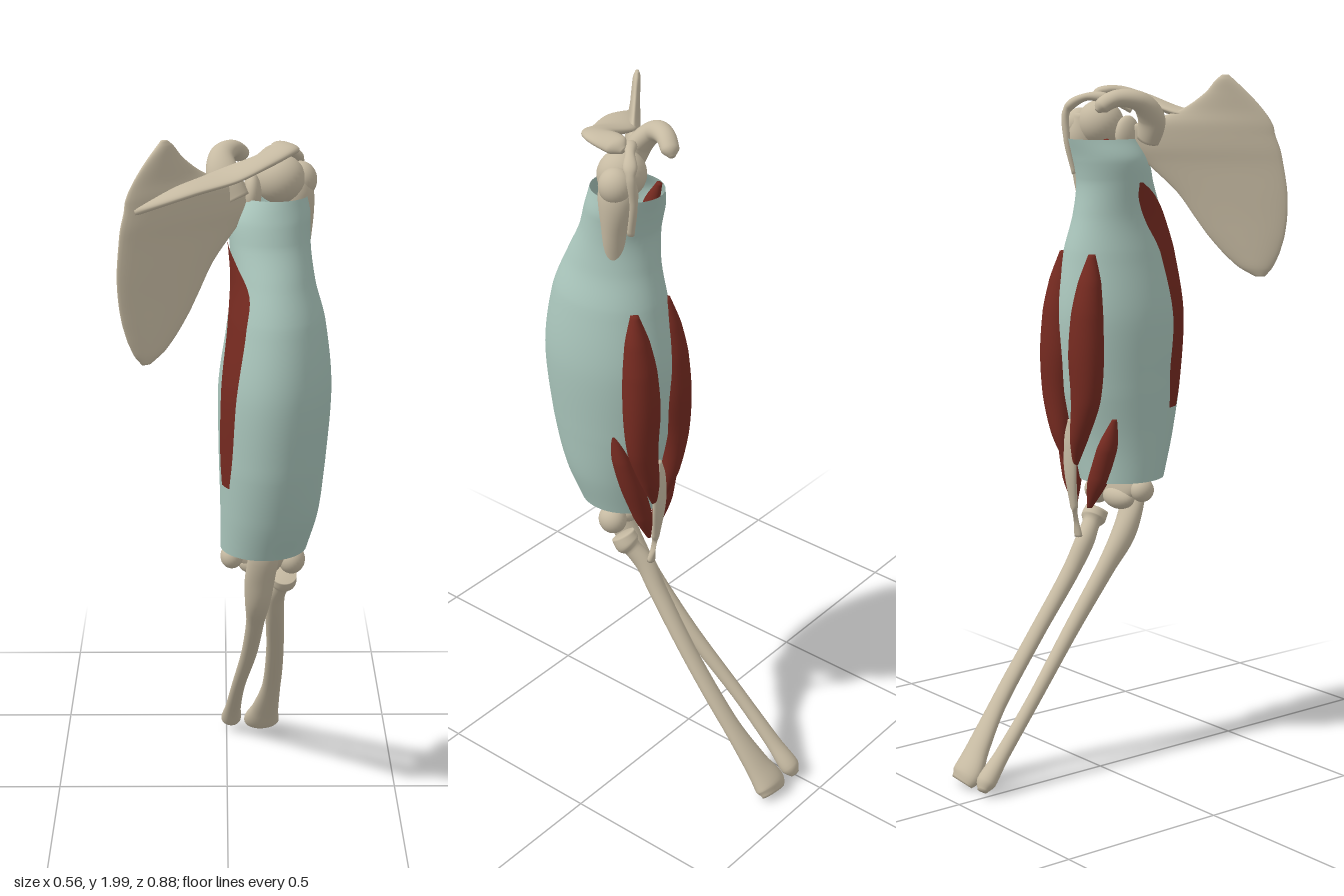
import * as THREE from 'three';

const bone = new THREE.MeshStandardMaterial({ name: 'bone', color: 0xc6baa2 });
const muscle = new THREE.MeshStandardMaterial({ name: 'muscle red', color: 0x752a20, side: THREE.DoubleSide });
const sleeveMat = new THREE.MeshStandardMaterial({ name: 'sleeve green', color: 0xaac6bc, side: THREE.DoubleSide });

const V = (x, y, z) => new THREE.Vector3(x, y, z);

// Smooth curves through rows of [x, y, z, radiusA, radiusB]
function makeCurves(rows) {
  return {
    path: new THREE.CatmullRomCurve3(rows.map(r => V(r[0], r[1], r[2]))),
    size: new THREE.CatmullRomCurve3(rows.map(r => V(r[3], r[4], 0))),
  };
}

// Point on the swept surface at t along the path and angle a around it
function surfacePoint(c, t, a, u0, flat, grow = 0) {
  const T = flat ? V(0, 1, 0) : c.path.getTangent(t);
  const v = T.clone().cross(u0).normalize();
  const u = v.clone().cross(T);
  const s = c.size.getPoint(t);
  return c.path.getPoint(t)
    .addScaledVector(u, (Math.max(s.x, 0.001) + grow) * Math.cos(a))
    .addScaledVector(v, (Math.max(s.y, 0.001) + grow) * Math.sin(a));
}

function meshFrom(name, mat, pos, idx) {
  const g = new THREE.BufferGeometry();
  g.setAttribute('position', new THREE.Float32BufferAttribute(pos, 3));
  g.setIndex(idx);
  g.computeVertexNormals();
  const m = new THREE.Mesh(g, mat);
  m.name = name;
  return m;
}

// Elliptical sweep; flat keeps every ring horizontal
function sweep(name, mat, rows, { u = V(1, 0, 0), flat = false, open = false, n = 28, seg = 48 } = {}) {
  const c = makeCurves(rows), pos = [], idx = [];
  for (let i = 0; i <= seg; i++)
    for (let j = 0; j < n; j++)
      pos.push(...surfacePoint(c, i / seg, j / n * Math.PI * 2, u, flat).toArray());
  for (let i = 0; i < seg; i++)
    for (let j = 0; j < n; j++) {
      const a = i * n + j, b = i * n + (j + 1) % n;
      idx.push(a, b, b + n, a, b + n, a + n);
    }
  if (!open) {
    const k = pos.length / 3, top = seg * n;
    pos.push(...c.path.getPoint(0).toArray(), ...c.path.getPoint(1).toArray());
    for (let j = 0; j < n; j++) {
      const q = (j + 1) % n;
      idx.push(k, q, j, k + 1, top + j, top + q);
    }
  }
  return meshFrom(name, mat, pos, idx);
}

function ellipsoid(name, x, y, z, rx, ry, rz) {
  const m = new THREE.Mesh(new THREE.SphereGeometry(1, 28, 20), bone);
  m.scale.set(rx, ry, rz);
  m.position.set(x, y, z);
  m.name = name;
  return m;
}

// Upper arm sleeve: [y, xMin, xMax, zMin, zMax]
const sleeveRows = [
  [0.84, -0.02, 0.22, 0.03, 0.285], [0.95, -0.02, 0.25, 0.015, 0.325],
  [1.1, -0.024, 0.268, -0.015, 0.36], [1.3, -0.026, 0.282, -0.028, 0.375],
  [1.5, 0, 0.262, -0.002, 0.342], [1.6, 0.012, 0.235, 0.022, 0.3],
  [1.7, 0.005, 0.222, 0.032, 0.252], [1.76, 0.003, 0.222, 0.02, 0.235],
  [1.82, 0.03, 0.215, 0.004, 0.213],
].map(([y, a, b, c, d]) => [(a + b) / 2, y, (c + d) / 2, (b - a) / 2, (d - c) / 2]);

// Thin strip of muscle lying on the inner side of the sleeve
function innerStrip() {
  const c = makeCurves(sleeveRows), pos = [], idx = [], rows = 40, cols = 8;
  const edge = new THREE.CatmullRomCurve3([
    V(1.67, 142, 157), V(2.3, 136, 160), V(3, 132, 157), V(4, 127, 164),
    V(4.8, 125, 176), V(5.5, 146, 184), V(6, 174, 180),
  ]);
  for (let i = 0; i <= rows; i++) {
    const e = edge.getPoint(i / rows);
    for (let j = 0; j <= cols; j++) {
      const a = -THREE.MathUtils.degToRad(e.y + (e.z - e.y) * j / cols);
      pos.push(...surfacePoint(c, e.x / 8, a, V(1, 0, 0), true, 0.005).toArray());
    }
  }
  // Wound so that the front of the strip faces away from the sleeve
  for (let i = 0; i < rows; i++)
    for (let j = 0; j < cols; j++) {
      const a = i * (cols + 1) + j, b = a + cols + 1;
      idx.push(a, b, b + 1, a, b + 1, a + 1);
    }
  return meshFrom('innerMuscleStrip', muscle, pos, idx);
}

function shoulderBlade() {
  const g = new THREE.Group();
  g.name = 'shoulderBlade';
  // Blade: [y, xMin, xMax, half thickness], leaning in plan
  const rows = [
    [1.435, -0.222, -0.2, 0.006], [1.46, -0.24, -0.165, 0.012], [1.5, -0.257, -0.132, 0.013],
    [1.55, -0.271, -0.1, 0.013], [1.6, -0.279, -0.074, 0.013], [1.67, -0.283, -0.038, 0.014],
    [1.75, -0.278, 0.025, 0.016], [1.8, -0.272, 0.065, 0.02], [1.855, -0.262, 0.055, 0.02],
    [1.9, -0.243, -0.055, 0.014], [1.95, -0.21, -0.115, 0.012], [1.985, -0.182, -0.14, 0.01],
    [2, -0.17, -0.155, 0.005],
  ].map(([y, a, b, t]) => {
    const x = (a + b) / 2;
    return [x, y, 0.2 - 0.8 * x + 0.1 * (1.85 - y), (b - a) * 0.64, t];
  });
  g.add(sweep('blade', bone, rows, { u: V(1, 0, -0.8).normalize(), flat: true, n: 36 }));
  // Ridge running out to the shoulder tip
  g.add(sweep('bladeRidge', bone, [
    [-0.24, 1.83, 0.395, 0.012, 0.01], [-0.12, 1.87, 0.34, 0.045, 0.014],
    [-0.01, 1.895, 0.272, 0.06, 0.014], [0.09, 1.93, 0.232, 0.045, 0.015],
    [0.145, 1.95, 0.18, 0.042, 0.016], [0.15, 1.945, 0.12, 0.034, 0.018], [0.15, 1.935, 0.095, 0.01, 0.008],
  ], { u: V(0.6, 0, 0.8) }));
  // Hook pointing to the back of the model
  g.add(sweep('bladeHook', bone, [
    [0.02, 1.82, 0.19, 0.04, 0.03], [-0.01, 1.88, 0.175, 0.045, 0.032], [-0.016, 1.925, 0.13, 0.034, 0.028],
    [0.012, 1.935, 0.07, 0.028, 0.024], [0.035, 1.915, 0.035, 0.026, 0.022], [0.042, 1.9, 0.022, 0.008, 0.008],
  ]));
  g.add(ellipsoid('shoulderSocket', 0.065, 1.83, 0.15, 0.025, 0.055, 0.04));
  return g;
}

function upperArmBone() {
  const g = new THREE.Group();
  g.name = 'upperArmBone';
  g.add(sweep('upperArmShaft', bone, [
    [0.1, 0.76, 0.14, 0.04, 0.025], [0.1, 0.82, 0.15, 0.085, 0.03], [0.11, 0.95, 0.16, 0.045, 0.026],
    [0.13, 1.3, 0.16, 0.03, 0.03], [0.165, 1.58, 0.11, 0.035, 0.03], [0.187, 1.72, 0.095, 0.04, 0.036],
    [0.182, 1.82, 0.09, 0.05, 0.055], [0.175, 1.89, 0.09, 0.035, 0.04],
  ]));
  g.add(ellipsoid('upperArmHead', 0.14, 1.862, 0.112, 0.068, 0.066, 0.065));
  g.add(ellipsoid('upperArmKnob', 0.195, 1.855, 0.085, 0.045, 0.05, 0.048));
  g.add(ellipsoid('innerCondyle', 0.012, 0.81, 0.165, 0.032, 0.035, 0.035));
  g.add(ellipsoid('outerCondyle', 0.18, 0.79, 0.135, 0.038, 0.042, 0.042));
  g.add(ellipsoid('elbowPulley', 0.09, 0.78, 0.14, 0.06, 0.035, 0.035));
  return g;
}

function forearm() {
  const g = new THREE.Group();
  g.name = 'forearm';
  g.add(sweep('innerForearmBone', bone, [
    [0.01, 0.025, -0.415, 0.016, 0.012], [0.014, 0.05, -0.395, 0.031, 0.026], [0.02, 0.11, -0.34, 0.024, 0.02],
    [0.035, 0.24, -0.22, 0.02, 0.019], [0.065, 0.42, -0.055, 0.023, 0.022], [0.08, 0.58, 0.085, 0.026, 0.028],
    [0.085, 0.67, 0.155, 0.036, 0.035], [0.09, 0.75, 0.19, 0.042, 0.028], [0.1, 0.83, 0.212, 0.042, 0.025],
    [0.1, 0.86, 0.21, 0.015, 0.012],
  ]));
  g.add(sweep('outerForearmBone', bone, [
    [0.112, 0.022, -0.413, 0.045, 0.02], [0.11, 0.045, -0.395, 0.055, 0.032], [0.12, 0.1, -0.355, 0.042, 0.027],
    [0.137, 0.22, -0.265, 0.028, 0.021], [0.143, 0.4, -0.125, 0.026, 0.021], [0.138, 0.57, 0.0, 0.027, 0.025],
    [0.138, 0.65, 0.05, 0.028, 0.029], [0.152, 0.695, 0.085, 0.026, 0.026], [0.158, 0.712, 0.1, 0.038, 0.036],
    [0.16, 0.735, 0.115, 0.036, 0.034],
  ]));
  return g;
}

function muscles() {
  const g = new THREE.Group();
  g.name = 'muscles';
  // Two long bellies side by side
  const bellies = [['outerBelly', 0.2, 0.155], ['innerBelly', 0.067, 0.115]];
  for (const [name, x, foot] of bellies) {
    g.add(sweep(name, muscle, [
      [foot, 0.89, 0.0, 0.008, 0.008], [(x + foot) / 2, 0.97, -0.005, 0.028, 0.026],
      [x, 1.08, 0.0, 0.046, 0.04], [x, 1.22, 0.003, 0.056, 0.049],
      [x, 1.33, 0.008, 0.05, 0.046], [x, 1.42, 0.016, 0.036, 0.033], [x, 1.5, 0.025, 0.01, 0.012],
    ], { flat: true }));
  }
  // Lower muscle showing on both sides of the tendon
  g.add(sweep('lowerOuterMuscle', muscle, [
    [0.15, 0.76, 0.025, 0.006, 0.006], [0.17, 0.84, 0.03, 0.028, 0.028], [0.198, 0.94, 0.042, 0.032, 0.034],
    [0.225, 1.04, 0.058, 0.024, 0.028], [0.238, 1.13, 0.075, 0.008, 0.01],
  ], { flat: true }));
  g.add(sweep('lowerInnerMuscle', muscle, [
    [0.1, 0.76, 0.04, 0.008, 0.008], [0.065, 0.85, 0.045, 0.034, 0.028],
    [0.035, 0.94, 0.052, 0.03, 0.03], [0.015, 1.03, 0.065, 0.008, 0.01],
  ], { flat: true }));
  // Slim muscle climbing inside the sleeve to the hook
  g.add(sweep('innerUpperMuscle', muscle, [
    [0.075, 1.45, 0.06, 0.03, 0.03], [0.07, 1.62, 0.08, 0.025, 0.025],
    [0.06, 1.74, 0.085, 0.022, 0.025], [0.05, 1.82, 0.06, 0.008, 0.008],
  ]));
  g.add(innerStrip());
  return g;
}

export function createModel() {
  const model = new THREE.Group();
  model.name = 'armAnatomy';
  model.add(shoulderBlade(), upperArmBone(), forearm(), muscles());
  model.add(sweep('upperArmSleeve', sleeveMat, sleeveRows, { flat: true, open: true, n: 48, seg: 64 }));
  // Tendon from the bellies down to the forearm
  model.add(sweep('lowerTendon', bone, [
    [0.138, 0.67, 0.028, 0.014, 0.01], [0.137, 0.76, 0.012, 0.014, 0.01], [0.136, 0.86, -0.002, 0.025, 0.011],
    [0.135, 0.94, -0.004, 0.03, 0.012], [0.135, 1.02, -0.002, 0.008, 0.008],
  ]));
  // Curved tendon over the head of the upper arm bone
  model.add(sweep('shoulderTendon', bone, [
    [0.065, 1.9, 0.165, 0.012, 0.01], [0.1, 1.93, 0.115, 0.013, 0.011], [0.155, 1.935, 0.07, 0.013, 0.011],
    [0.195, 1.9, 0.035, 0.013, 0.011], [0.19, 1.82, 0.03, 0.011, 0.01], [0.18, 1.72, 0.05, 0.01, 0.008],
  ], { u: V(0.6, 0, 0.8) }));
  return model;
}
